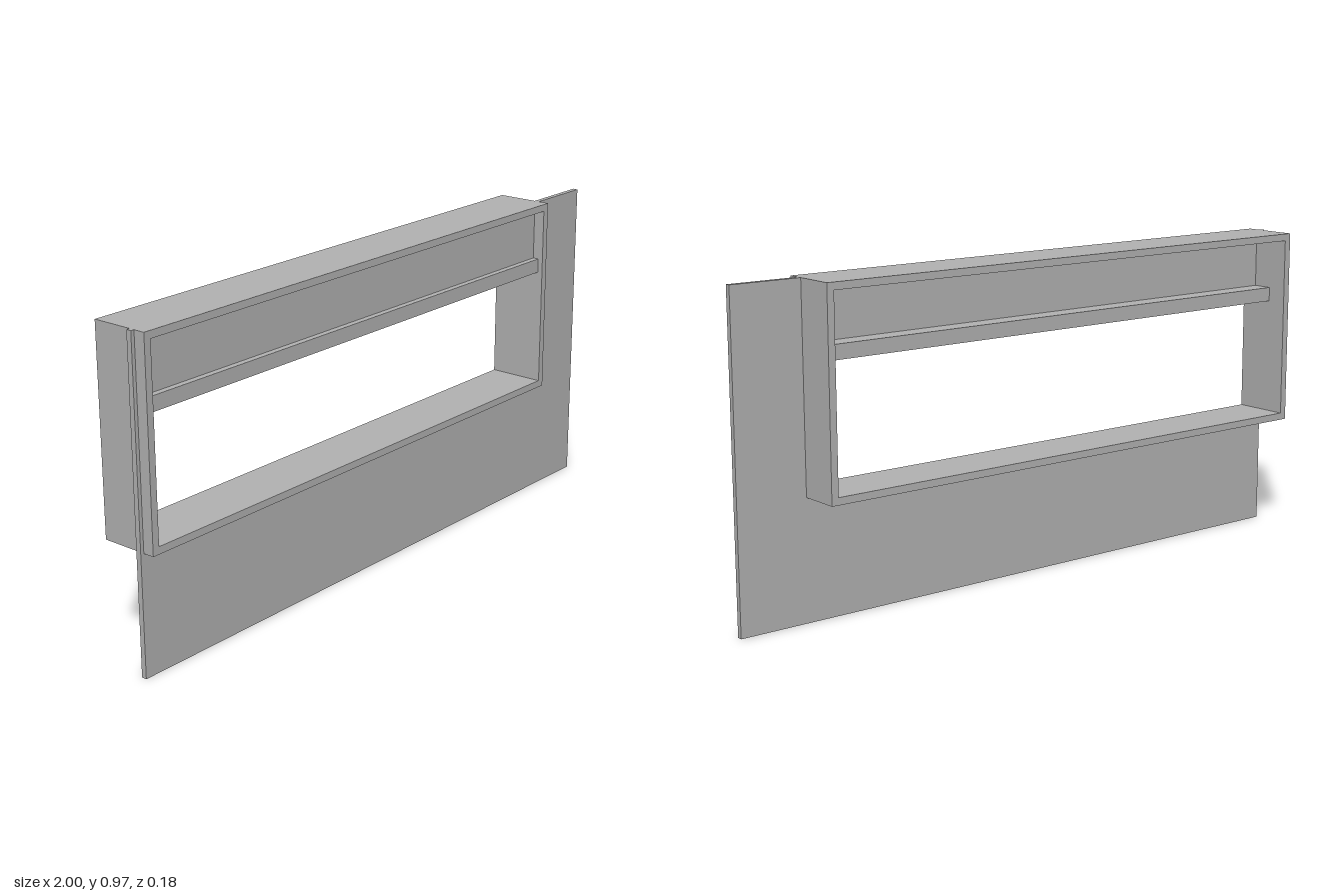
import * as THREE from 'three';

const grey = new THREE.MeshStandardMaterial({ color: 0xb2b2b2 });
grey.name = 'plain grey';

// Rectangle outline from two corners
function rect(Type, x0, y0, x1, y1) {
  return new Type([[x0, y0], [x1, y0], [x1, y1], [x0, y1]].map(([x, y]) => new THREE.Vector2(x, y)));
}

// Rectangular slab with a rectangular opening, between two depths
function holedSlab(name, outer, inner, z0, z1) {
  const shape = rect(THREE.Shape, ...outer);
  shape.holes.push(rect(THREE.Path, ...inner));
  const geometry = new THREE.ExtrudeGeometry(shape, { depth: z1 - z0, bevelEnabled: false });
  geometry.translate(0, 0, z0);
  const mesh = new THREE.Mesh(geometry, grey);
  mesh.name = name;
  return mesh;
}

export function createModel() {
  const model = new THREE.Group();
  model.name = 'wallWithWindowFrame';

  // Thin wall, open below the ledge
  model.add(holedSlab('wallPanel', [-1, 0, 1, 0.97], [-0.967, 0.383, 0.758, 0.747], 0.038, 0.054));

  // Deep box frame around the opening
  model.add(holedSlab('boxFrame', [-0.989, 0.361, 0.78, 0.97], [-0.967, 0.383, 0.758, 0.948], -0.089, 0.089));

  // Ledge across the frame at the lower edge of the upper panel
  const ledge = new THREE.Mesh(new THREE.BoxGeometry(1.725, 0.044, 0.098), grey);
  ledge.name = 'ledge';
  ledge.position.set(-0.1045, 0.768, 0.024);
  model.add(ledge);

  return model;
}
